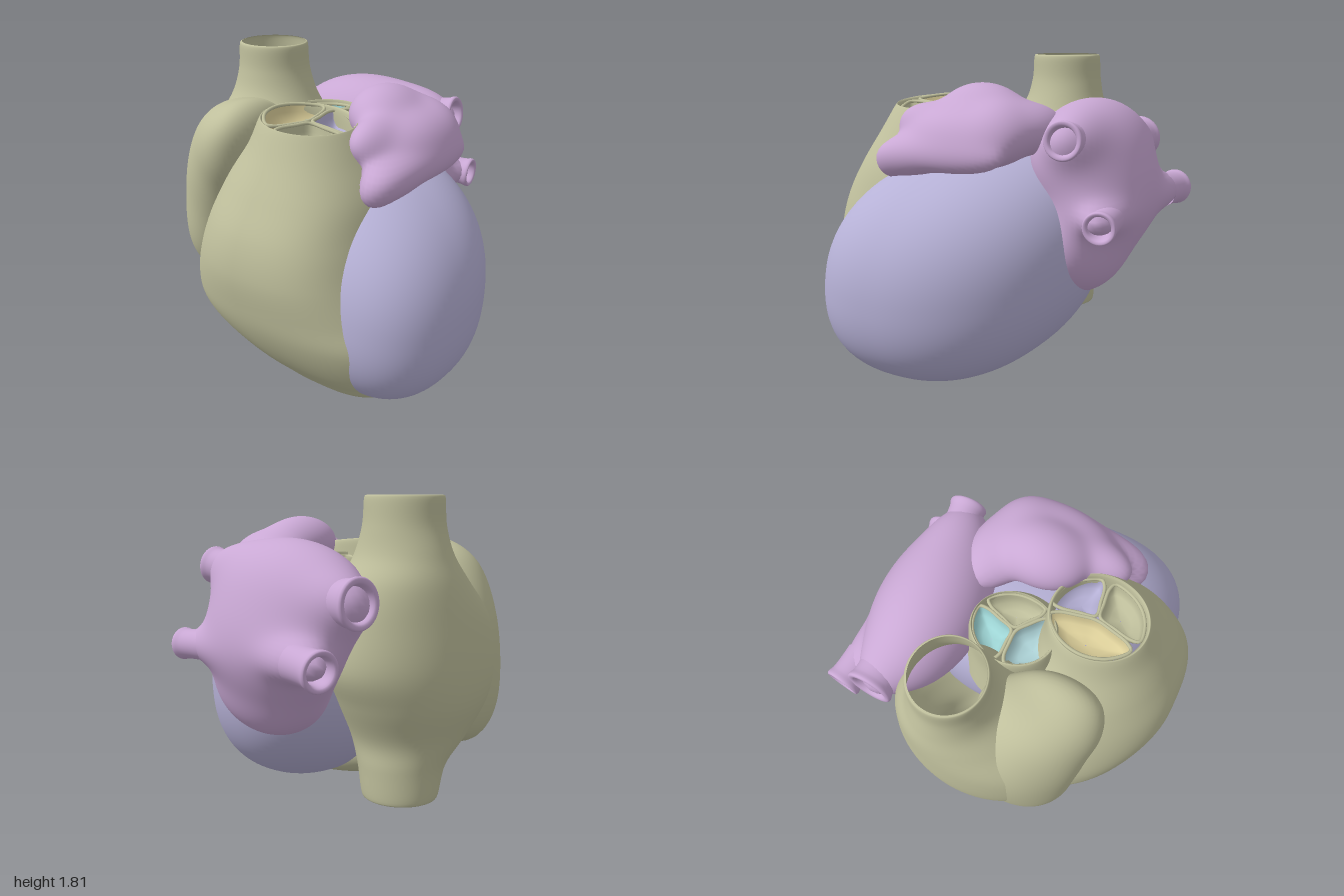
import * as THREE from 'three';
import { mergeVertices } from 'three/addons/utils/BufferGeometryUtils.js';

const OLIVE = 0xbfbf9c, PURPLE = 0xc9a8d4, LAVENDER = 0xb6b1d6, TEAL = 0x9fd6d6,
  BLUE = 0xb0d6da, TAN = 0xdccf9a, ORANGE = 0xe0b08a;
const V = (x, y, z) => new THREE.Vector3(x, y, z);

function mesh(name, geometry, color, open = true) {
  const m = new THREE.Mesh(geometry, new THREE.MeshStandardMaterial({
    color, side: open ? THREE.DoubleSide : THREE.FrontSide }));
  m.name = name;
  return m;
}

// Skin over rings of equal point count, listed from bottom to top
function skin(rings) {
  const n = rings[0].length, pos = [], idx = [];
  rings.forEach(r => r.forEach(p => pos.push(p.x, p.y, p.z)));
  for (let i = 0; i < rings.length - 1; i++) for (let j = 0; j < n; j++) {
    const a = i * n + j, b = i * n + (j + 1) % n;
    idx.push(a, a + n, b, b, a + n, b + n);
  }
  const g = new THREE.BufferGeometry();
  g.setAttribute('position', new THREE.Float32BufferAttribute(pos, 3));
  g.setIndex(idx);
  g.computeVertexNormals();
  return g;
}

// Smooth loft through horizontal sections [y, cx, cz, rx, rzFront, rzBack]
function loft(sections, { power = 2, tilt = 0, steps = 72, sides = 72 } = {}) {
  const mid = new THREE.CatmullRomCurve3(sections.map(s => V(s[1], s[0], s[2])), false, 'catmullrom', 0.5);
  const rad = new THREE.CatmullRomCurve3(sections.map(s => V(s[3], s[4], s[5] ?? s[4])), false, 'catmullrom', 0.5);
  const rings = [];
  for (let i = 0; i <= steps; i++) {
    const t = i / steps, c = mid.getPoint(t), r = rad.getPoint(t), ring = [];
    const n = THREE.MathUtils.lerp(power, 2, THREE.MathUtils.smoothstep(t, 0.45, 0.8));
    for (let j = 0; j < sides; j++) {
      const a = j / sides * Math.PI * 2, co = Math.cos(a), si = Math.sin(a), e = 2 / (co < 0 ? 2 : n);
      const dx = Math.sign(co) * Math.abs(co) ** e * r.x;
      const dz = Math.sign(si) * Math.abs(si) ** e * (si > 0 ? r.y : r.z);
      ring.push(V(c.x + dx, c.y + tilt * t ** 4 * dx, c.z + dz));
    }
    rings.push(ring);
  }
  return skin(rings);
}

// Seamless unit sphere whose points are moved by a rule
function shapedSphere(move) {
  let g = new THREE.SphereGeometry(1, 96, 64);
  g.deleteAttribute('uv');
  g.deleteAttribute('normal');
  g = mergeVertices(g, 1e-4);
  const P = g.attributes.position;
  for (let i = 0; i < P.count; i++) {
    const p = move(V().fromBufferAttribute(P, i).normalize());
    P.setXYZ(i, p.x, p.y, p.z);
  }
  g.computeVertexNormals();
  return g;
}

// Smooth union of ellipsoids [x, y, z, rx, ry, rz], found along rays from a centre
function blob(center, parts, k = 20) {
  const inside = p => {
    let sum = 0;
    for (const [x, y, z, a, b, c] of parts) {
      const d = Math.hypot((p.x - x) / a, (p.y - y) / b, (p.z - z) / c) - 1;
      sum += Math.exp(-k * d * Math.min(a, b, c));
    }
    return sum > 1;
  };
  return shapedSphere(d => {
    const at = t => center.clone().addScaledVector(d, t);
    let hi = 1.2;
    while (hi > 0.02 && !inside(at(hi - 0.02))) hi -= 0.02;
    let lo = hi - 0.02;
    for (let s = 0; s < 10; s++) {
      const m = (lo + hi) / 2;
      if (inside(at(m))) lo = m; else hi = m;
    }
    return at(lo);
  });
}

// Open vein mouth with a thick lip
function vein(name, from, to, r) {
  const L = from.distanceTo(to);
  const profile = [[1.05, 0], [1, 0.4], [1, 0.75], [1.08, 0.94], [1, 1], [0.8, 0.97], [0.68, 0.7], [0.6, 0.3]]
    .map(([a, b]) => V(a * r, b * L, 0));
  const pts = new THREE.CatmullRomCurve3(profile).getPoints(28).map(p => new THREE.Vector2(p.x, p.y));
  const m = mesh(name, new THREE.LatheGeometry(pts, 36), PURPLE);
  m.position.copy(from);
  m.quaternion.setFromUnitVectors(V(0, 1, 0), to.clone().sub(from).normalize());
  return m;
}

// Three-cusp valve: each cusp is a cup with a rounded wedge outline
function valve(name, c, rx, rz, tilt, cusps) {
  const group = new THREE.Group();
  group.name = name;
  cusps.forEach(([from, to, color], i) => {
    const polar = (deg, f) => {
      const a = THREE.MathUtils.degToRad(deg), x = Math.cos(a) * rx * f;
      return V(x, tilt * x, Math.sin(a) * rz * f);
    };
    const pts = [polar((from + to) / 2, 0.06), polar(from + 5, 0.4), polar(from + 4, 0.8)];
    for (let s = 0; s <= 4; s++) pts.push(polar(THREE.MathUtils.lerp(from + 9, to - 9, s / 4), 0.97));
    pts.push(polar(to - 4, 0.8), polar(to - 5, 0.4));
    const curve = new THREE.CatmullRomCurve3(pts, true);
    const outline = curve.getPoints(48).slice(0, 48), hub = polar((from + to) / 2, 0.55);
    const rings = [[0.02, -0.12], [0.5, -0.118], [0.85, -0.09], [0.96, -0.045], [1, 0]].map(([f, y]) =>
      outline.map(p => hub.clone().lerp(p, f).add(V(0, y, 0))));
    group.add(mesh('cusp' + (i + 1), skin(rings), color));
    group.add(mesh('cuspRim' + (i + 1), new THREE.TubeGeometry(curve, 64, 0.01, 8, true), OLIVE, false));
  });
  group.position.copy(c);
  return group;
}

export function createModel() {
  const heart = new THREE.Group();
  heart.name = 'heart';

  // Left ventricle: a slightly squared, sheared sphere leaning towards the apex
  const lean = new THREE.Matrix4().set(
    0.7, 0, 0, 0.3,
    -0.143, 0.634, 0, 0.66,
    0.186, -0.053, 0.68, 0.055,
    0, 0, 0, 1);
  const p = 2.3;
  heart.add(mesh('leftVentricle', shapedSphere(d => d.divideScalar(
    (Math.abs(d.x) ** p + Math.abs(d.y) ** p + Math.abs(d.z) ** p) ** (1 / p)).applyMatrix4(lean)), LAVENDER, false));

  // Right ventricle rising to the open outflow rim, which curls inward
  heart.add(mesh('rightVentricle', loft([
    [0.04, 0.38, 0.22, 0.02, 0.02, 0.02],
    [0.07, 0.33, 0.22, 0.36, 0.36, 0.2],
    [0.17, 0.22, 0.2, 0.56, 0.51, 0.22],
    [0.3, 0.12, 0.2, 0.69, 0.61, 0.22],
    [0.45, 0.035, 0.22, 0.765, 0.665, 0.22],
    [0.6, 0.0, 0.23, 0.72, 0.695, 0.22],
    [0.8, 0.0, 0.25, 0.63, 0.7, 0.22],
    [1.0, 0.02, 0.28, 0.55, 0.64, 0.25],
    [1.2, 0.05, 0.33, 0.46, 0.5, 0.27],
    [1.39, 0.07, 0.36, 0.34, 0.37, 0.27],
    [1.525, 0.065, 0.37, 0.27, 0.295, 0.27],
    [1.54, 0.065, 0.37, 0.255, 0.278, 0.255],
    [1.5, 0.065, 0.37, 0.245, 0.265, 0.245],
    [1.4, 0.065, 0.37, 0.24, 0.26, 0.24],
  ], { power: 3.2, tilt: -0.22, steps: 104, sides: 96 }), OLIVE));

  // Right atrium, continuous with the upper and lower caval veins
  heart.add(mesh('rightAtriumAndCavalVeins', loft([
    [0.17, -0.635, -0.13, 0.19, 0.19],
    [0.18, -0.635, -0.13, 0.215, 0.21],
    [0.35, -0.62, -0.1, 0.245, 0.25],
    [0.5, -0.6, -0.03, 0.31, 0.37, 0.33],
    [0.7, -0.6, 0.0, 0.38, 0.5, 0.45],
    [0.9, -0.59, 0.0, 0.41, 0.55, 0.53],
    [1.15, -0.6, -0.02, 0.385, 0.5, 0.49],
    [1.35, -0.62, -0.1, 0.33, 0.38, 0.36],
    [1.5, -0.635, -0.13, 0.27, 0.27, 0.25],
    [1.65, -0.64, -0.13, 0.225, 0.22],
    [1.79, -0.64, -0.13, 0.215, 0.21],
    [1.81, -0.64, -0.13, 0.2, 0.195],
  ]), OLIVE));
  heart.add(mesh('rightAuricle', blob(V(-0.6, 1.06, 0.34), [
    [-0.72, 0.95, 0.22, 0.2, 0.4, 0.26],
    [-0.6, 1.1, 0.38, 0.16, 0.28, 0.2],
    [-0.47, 1.28, 0.45, 0.12, 0.18, 0.16],
    [-0.37, 1.43, 0.38, 0.07, 0.1, 0.15],
    [-0.54, 1.37, 0.2, 0.14, 0.12, 0.2],
    [-0.77, 0.66, 0.28, 0.1, 0.18, 0.16],
    [-0.66, 0.75, 0.42, 0.1, 0.2, 0.12],
  ], 16), OLIVE, false));

  // Inlet flap seen down the upper caval vein
  const flap = mesh('inletValveFlap', new THREE.SphereGeometry(1, 32, 16), ORANGE, false);
  flap.scale.set(0.15, 0.12, 0.02);
  flap.position.set(-0.5, 0.85, 0.0);
  flap.rotation.set(-0.6, 0.75, 0);
  heart.add(flap);

  // Left atrium with four veins
  heart.add(mesh('leftAtrium', blob(V(-0.15, 1.12, -0.56), [
    [-0.17, 1.25, -0.52, 0.52, 0.33, 0.3],
    [-0.15, 1.03, -0.63, 0.47, 0.34, 0.265],
    [-0.03, 0.77, -0.55, 0.4, 0.29, 0.23],
    [0.16, 1.39, -0.57, 0.23, 0.13, 0.13],
    [0.2, 0.98, -0.78, 0.2, 0.07, 0.08],
    [-0.56, 1.28, -0.59, 0.19, 0.12, 0.12],
    [-0.54, 1.0, -0.82, 0.2, 0.09, 0.09],
  ], 22), PURPLE, false));
  heart.add(vein('leftUpperVein', V(0.22, 1.39, -0.58), V(0.42, 1.41, -0.6), 0.1));
  heart.add(vein('leftLowerVein', V(0.22, 0.98, -0.79), V(0.43, 0.97, -0.82), 0.085));
  heart.add(vein('rightUpperVein', V(-0.58, 1.28, -0.59), V(-0.78, 1.29, -0.6), 0.125));
  heart.add(vein('rightLowerVein', V(-0.56, 1.0, -0.82), V(-0.77, 0.99, -0.85), 0.1));

  // Left auricle draped over the left ventricle and joined to the left atrium
  heart.add(mesh('leftAuricle', blob(V(0.4, 1.43, 0.02), [
    [0.27, 1.52, -0.04, 0.18, 0.16, 0.23],
    [0.48, 1.4, -0.04, 0.16, 0.15, 0.28],
    [0.62, 1.3, -0.03, 0.05, 0.06, 0.23],
    [0.4, 1.45, 0.26, 0.09, 0.1, 0.15],
    [0.54, 1.27, 0.28, 0.09, 0.09, 0.15],
    [0.52, 1.22, 0.41, 0.05, 0.05, 0.05],
    [0.2, 1.43, -0.32, 0.22, 0.13, 0.15],
    [0.42, 1.42, -0.23, 0.14, 0.13, 0.12],
  ], 22), PURPLE, false));

  // Aortic root and the two outflow valves
  heart.add(mesh('aorticRoot', loft([
    [1.0, -0.12, 0, 0.34, 0.32],
    [1.25, -0.13, -0.01, 0.27, 0.29],
    [1.44, -0.165, -0.015, 0.22, 0.25],
    [1.46, -0.165, -0.015, 0.2, 0.235],
    [1.3, -0.165, -0.015, 0.195, 0.23],
  ], { steps: 40 }), OLIVE));
  heart.add(valve('aorticValve', V(-0.165, 1.445, -0.015), 0.205, 0.24, 0,
    [[-70, 35, OLIVE], [35, 178, BLUE], [178, 290, TEAL]]));
  heart.add(valve('pulmonaryValve', V(0.065, 1.52, 0.37), 0.25, 0.265, -0.2,
    [[-105, -8, LAVENDER], [-8, 105, OLIVE], [105, 255, TAN]]));

  return heart;
}
